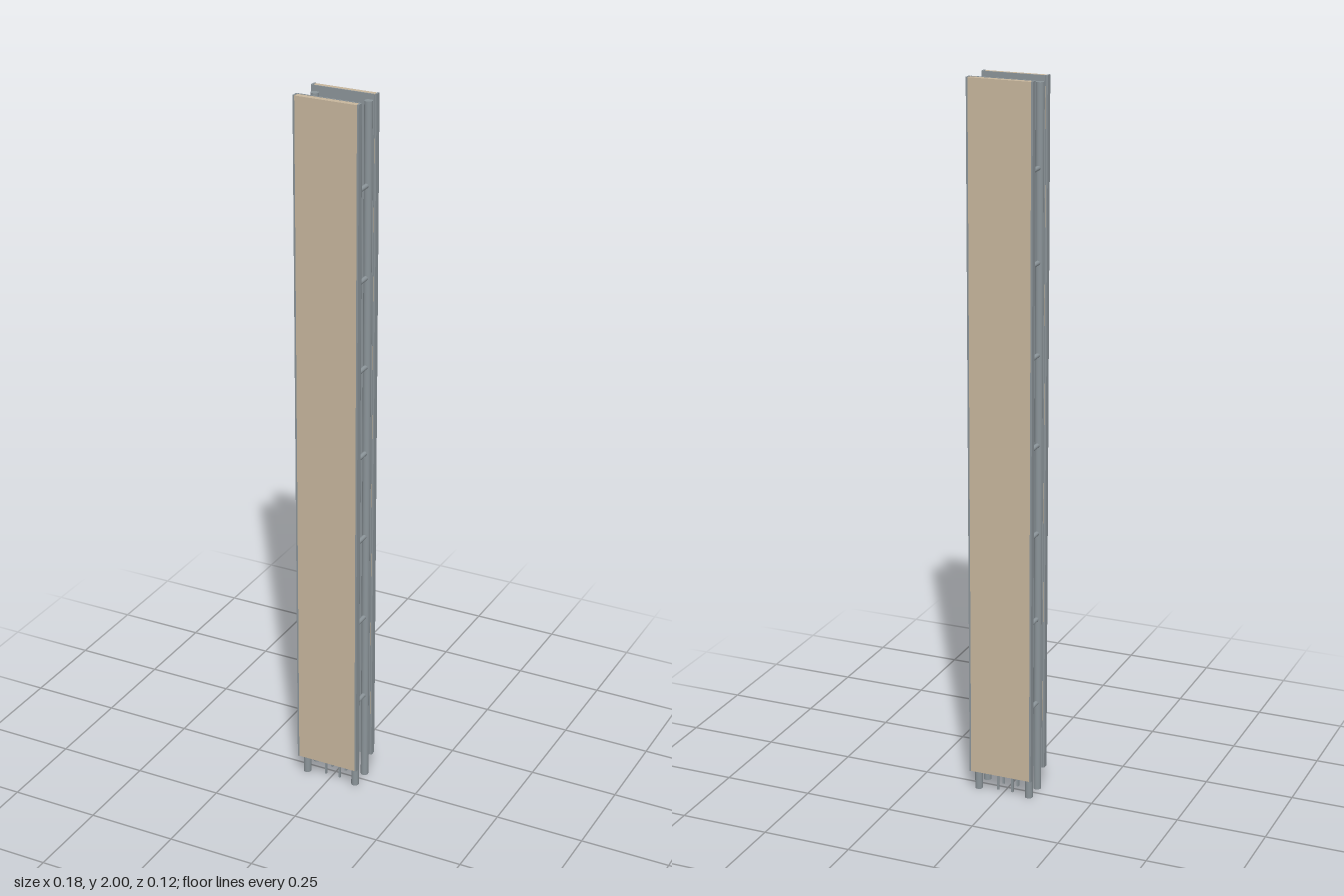
import * as THREE from 'three';

const tan = new THREE.MeshStandardMaterial({ color: 0xc6b59c });
tan.name = 'tan board';
const steel = new THREE.MeshStandardMaterial({ color: 0x8b9499 });
steel.name = 'grey steel';

function add(parent, name, geometry, material, x, y, z) {
  const mesh = new THREE.Mesh(geometry, material);
  mesh.name = name;
  mesh.position.set(x, y, z);
  parent.add(mesh);
  return mesh;
}

const box = (w, h, d) => new THREE.BoxGeometry(w, h, d);

export function createModel() {
  const model = new THREE.Group();
  model.name = 'doubleSidedPanelColumn';

  const bottom = 0.06, top = 2;
  const panelHeight = top - bottom, panelY = (top + bottom) / 2;
  const postX = 0.0755, postZ = 0.03;

  // Facing panels: tan board, steel edge caps and steel backing sheet
  for (const side of [1, -1]) {
    const panel = new THREE.Group();
    panel.name = side > 0 ? 'frontPanel' : 'backPanel';
    add(panel, 'board', box(0.174, panelHeight - 0.002, 0.016), tan, 0, panelY, side * 0.05);
    add(panel, 'backingSheet', box(0.172, panelHeight, 0.003), steel, 0, panelY, side * 0.0405);
    for (const s of [1, -1]) {
      add(panel, 'edgeCap', box(0.005, panelHeight, 0.017), steel, s * 0.0895, panelY, side * 0.0495);
    }
    model.add(panel);
  }

  // Round corner posts and thin inner rods
  const postGeometry = new THREE.CylinderGeometry(0.0108, 0.0108, 1.985, 24);
  const rodGeometry = box(0.006, 1.945, 0.006);
  for (const sx of [1, -1]) {
    for (const sz of [1, -1]) {
      add(model, 'post', postGeometry, steel, sx * postX, 1.985 / 2, sz * postZ);
      add(model, 'innerRod', rodGeometry, steel, sx * 0.0215, 1.945 / 2, sz * 0.0195);
    }
  }

  // Horizontal ties: slim ones between the posts, a thicker one between the panels
  const sideTie = new THREE.CylinderGeometry(0.0063, 0.0063, 0.06, 16).rotateX(Math.PI / 2);
  const middleTie = new THREE.CylinderGeometry(0.0095, 0.0095, 0.08, 20).rotateX(Math.PI / 2);
  for (let i = 0; i < 7; i++) {
    const y = 0.264 + i * 0.25;
    for (const s of [1, -1]) add(model, 'sideTie', sideTie, steel, s * postX, y, 0);
    add(model, 'middleTie', middleTie, steel, 0, y, 0);
  }

  return model;
}
